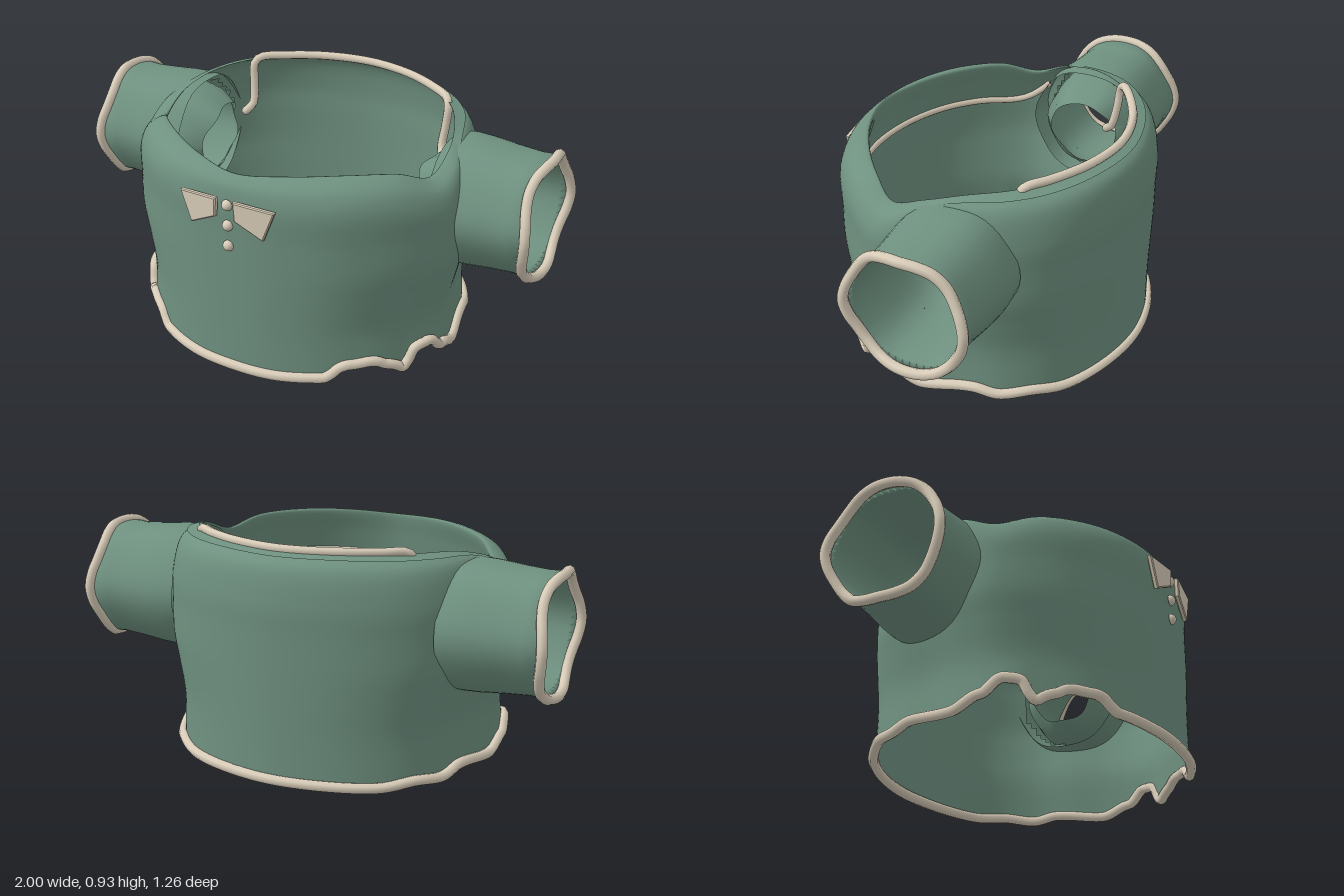
import * as THREE from 'three';

const V = (x, y, z) => new THREE.Vector3(x, y, z);
const { lerp, smoothstep } = THREE.MathUtils;
const cloth = new THREE.MeshStandardMaterial({ color: 0x6f9180, side: THREE.DoubleSide });
const cream = new THREE.MeshStandardMaterial({ color: 0xd9cdb9 });

// Half contours (x, z) from centre front to centre back
const OUTLINE = [[0, .6], [.2, .58], [.4, .5], [.58, .34], [.68, .18], [.69, .05], [.65, -.12], [.6, -.3], [.48, -.45], [.28, -.56], [0, -.61]];
const RIM = [[0, .545], [.2, .485], [.38, .375], [.52, .25], [.595, .14], [.605, 0], [.56, -.15], [.47, -.3], [.36, -.39], [.2, -.47], [0, -.51]];
const RIM_Y = [.835, .845, .848, .835, .795, .845, .885, .9, .905, .91, .91];
// Wavy hem height by depth (z, y)
const HEM = [[-.61, .03], [-.5, .025], [-.4, .04], [-.3, .03], [-.2, .05], [0, .03], [.12, .07], [.2, .125], [.25, .12], [.3, .04], [.34, .065], [.4, .095], [.47, .09], [.52, .035], [.6, .025]];
// Armhole centre
const ARM_Y = .605, ARM_Z = -.125;

function closedCurve(half, ys) {
  const pts = half.map(([x, z], i) => V(x, ys ? ys[i] : 0, z));
  const back = pts.slice(1, -1).reverse().map(p => V(-p.x, p.y, p.z));
  return new THREE.CatmullRomCurve3([...pts, ...back], true, 'centripetal');
}

function hemY(z) {
  for (let i = 1; i < HEM.length; i++) {
    const [z0, y0] = HEM[i - 1], [z1, y1] = HEM[i];
    if (z <= z1) return lerp(y0, y1, smoothstep(z, z0, z1));
  }
  return .025;
}

// Surface through a loop of columns, each a list of points; skip(p) cuts holes
function loopSurface(columns, skip = () => false) {
  const n = columns.length, m = columns[0].length, index = [];
  const at = (i, j) => (i % n) * m + j;
  for (let i = 0; i < n; i++) for (let j = 0; j < m - 1; j++) {
    const mid = columns[i][j].clone().add(columns[(i + 1) % n][j + 1]).multiplyScalar(.5);
    if (skip(mid)) continue;
    const a = at(i, j), b = at(i + 1, j), c = at(i + 1, j + 1), d = at(i, j + 1);
    index.push(a, b, c, a, c, d);
  }
  const g = new THREE.BufferGeometry().setFromPoints(columns.flat());
  g.setIndex(index);
  g.computeVertexNormals();
  return g;
}

function add(parent, name, geometry, material) {
  const mesh = new THREE.Mesh(geometry, material);
  mesh.name = name;
  parent.add(mesh);
  return mesh;
}

function piping(points, closed, radius = .021) {
  const curve = new THREE.CatmullRomCurve3(points, closed, 'centripetal');
  return new THREE.TubeGeometry(curve, points.length * 4, radius, 8, closed);
}

// Rounded many-sided ring around the sleeve axis
function sleevePoint(x, r, a) {
  const k = r * (1 + .018 * Math.cos(6 * a));
  return V(x, ARM_Y + k * Math.sin(a), ARM_Z + k * Math.cos(a));
}
const cuffWave = a => .967 + .012 * Math.cos(4 * a);

export function createModel() {
  const model = new THREE.Group();
  model.name = 'garment';

  // Body: one vertical profile per step around the outline, folded inwards at the neck
  const outline = closedCurve(OUTLINE), rim = closedCurve(RIM, RIM_Y);
  const STEPS = 160, columns = [], hem = [], frontEdge = [];
  for (let i = 0; i < STEPS; i++) {
    const o = outline.getPoint(i / STEPS), r = rim.getPoint(i / STEPS);
    const wall = (s, y) => V(o.x * s, y, o.z);
    const between = (k, y) => V(lerp(o.x, r.x, k), y, lerp(o.z, r.z, k));
    const bottom = wall(.955, hemY(o.z));
    const front = smoothstep(o.z, -.4, .1);
    const fold = .015 + .18 * smoothstep(o.z, -.05, .35);
    const edge = between(.5, r.y - fold);
    const profile = new THREE.CatmullRomCurve3([
      bottom, wall(.945, .22), wall(.985, .36), wall(1.02, .47), wall(1.02, .6),
      wall(1.01, r.y - lerp(.18, .1, front)), between(.3, r.y - lerp(.045, .03, front)), r,
      between(.75, r.y - fold * .5), edge,
    ], false, 'centripetal');
    columns.push(profile.getPoints(54));
    hem.push(V(bottom.x * 1.015, bottom.y, bottom.z * 1.005));
    if (i % 2 === 0 && o.z > .1) frontEdge.push(edge);
  }
  const inArmhole = p => Math.abs(p.x) > .4 && Math.hypot(p.y - ARM_Y, p.z - ARM_Z) < .222;
  add(model, 'body', loopSurface(columns, inArmhole), cloth);
  add(model, 'hemPiping', piping(hem, true), cream);

  // Piping inside the front neck fold, from side to side
  frontEdge.sort((a, b) => a.x - b.x);
  add(model, 'frontNeckPiping', piping(frontEdge, false, .016), cream);

  // Back neck piping with ends hanging inside
  const half = [[.47, .68, -.255], [.45, .71, -.285], [.455, .8, -.305], [.458, .885, -.315], [.44, .908, -.335], [.36, .912, -.395], [.2, .914, -.475]];
  const neck = [...half.map(p => V(...p)), V(0, .914, -.512), ...half.slice().reverse().map(([x, y, z]) => V(-x, y, z))];
  add(model, 'neckPiping', piping(neck, false, .018), cream);
  for (const p of [neck[0], neck[neck.length - 1]])
    add(model, 'neckPipingEnd', new THREE.SphereGeometry(.018, 10, 8), cream).position.copy(p);

  // Sleeves: outer tube, turned at the cuff, with a lining narrowing inwards
  for (const side of [1, -1]) {
    const sleeve = new THREE.Group();
    sleeve.name = side > 0 ? 'leftSleeve' : 'rightSleeve';
    const SIDES = 48, tube = [], cuff = [];
    for (let i = 0; i < SIDES; i++) {
      const a = i / SIDES * Math.PI * 2, end = cuffWave(a);
      const ragged = .01 * Math.sin(5 * a) - .05 * Math.max(0, Math.cos(a - 1.2));
      const rings = [[.57, .25], [.63, .256], [.7, .253], [.8, .243], [.9, .236], [end, .24],
        [.94, .222], [.8, .215], [.66, .21], [.58, .195], [.53 + ragged, .145]];
      const column = rings.map(([x, r]) => {
        const p = sleevePoint(x, r, a);
        p.x *= side;
        return p;
      });
      tube.push(side > 0 ? column : column.reverse());
      if (i % 2 === 0) {
        const p = sleevePoint(end, .24, a);
        p.x *= side;
        cuff.push(p);
      }
    }
    add(sleeve, 'sleeveCloth', loopSurface(tube), cloth);
    add(sleeve, 'cuffPiping', piping(cuff, true), cream);
    model.add(sleeve);
  }

  // Bow tie wings, angled to follow the chest
  for (const side of [1, -1]) {
    const wing = new THREE.Shape([[.04, .755], [.2, .745], [.155, .63], [.045, .685]]
      .map(([x, y]) => new THREE.Vector2(x * side, y)));
    const g = new THREE.ExtrudeGeometry(wing, { depth: .012, bevelEnabled: true, bevelSize: .005, bevelThickness: .004, bevelSegments: 1 });
    const mesh = add(model, side > 0 ? 'leftBowWing' : 'rightBowWing', g, cream);
    mesh.position.z = .618;
    mesh.rotation.y = side * .11;
  }

  // Domed buttons down the front
  for (const y of [.73, .645, .56])
    add(model, 'button', new THREE.SphereGeometry(.022, 16, 12, 0, Math.PI), cream).position.set(0, y, .604);

  return model;
}
